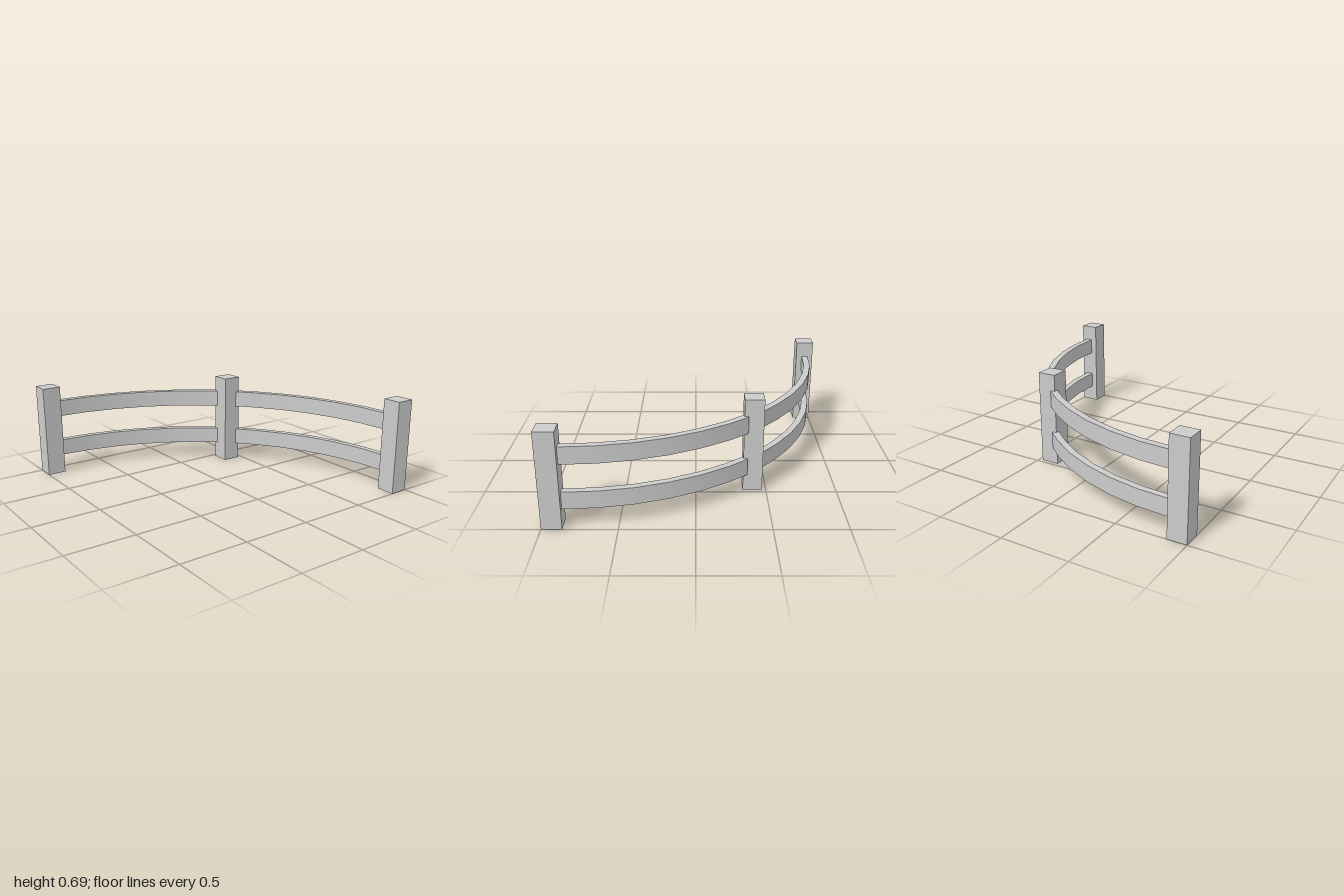
import * as THREE from 'three';
import { toCreasedNormals } from 'three/addons/utils/BufferGeometryUtils.js';

const material = new THREE.MeshStandardMaterial({ color: 0xcccccc });
const POST = 0.137, HEIGHT = 0.69;
const CENTRE = 0.867, OUTER = 1.826, INNER = 1.776; // rail arc, plan view
const STEP = THREE.MathUtils.degToRad(7.4);

// Plan outline of one curved rail, from the end post to the corner post (x, -z)
function railOutline() {
  const outer = [], inner = [];
  for (let i = 0; i <= 5; i++) {
    const a = i * STEP;
    const at = (r) => new THREE.Vector2(-CENTRE + r * Math.sin(a), -CENTRE + r * Math.cos(a));
    outer.push(at(OUTER));
    inner.push(at(INNER));
  }
  // End cut, set into the middle post
  outer.push(new THREE.Vector2(0.364, 0.482));
  inner.push(new THREE.Vector2(0.349, 0.43));
  return [...outer, ...inner.reverse()];
}

function rail(name, outline, y) {
  const solid = new THREE.ExtrudeGeometry(new THREE.Shape(outline), { depth: 0.123, bevelEnabled: false });
  solid.rotateX(-Math.PI / 2);
  const mesh = new THREE.Mesh(toCreasedNormals(solid, 0.5), material);
  mesh.name = name;
  mesh.position.y = y;
  return mesh;
}

export function createModel() {
  const group = new THREE.Group();
  group.name = 'curvedFence';

  // Square posts
  const posts = { rightPost: [-0.9315, -0.9315], middlePost: [0.403, -0.403], leftPost: [0.9315, 0.9315] };
  for (const [name, [x, z]] of Object.entries(posts)) {
    const post = new THREE.Mesh(new THREE.BoxGeometry(POST, HEIGHT, POST), material);
    post.name = name;
    post.position.set(x, HEIGHT / 2, z);
    group.add(post);
  }

  // Two rails per section; the left section mirrors the right across the diagonal
  const right = railOutline();
  const left = right.map((p) => new THREE.Vector2(p.y, p.x));
  for (const [level, y] of [['Lower', 0.128], ['Upper', 0.447]]) {
    group.add(rail(`right${level}Rail`, right, y), rail(`left${level}Rail`, left, y));
  }
  return group;
}
